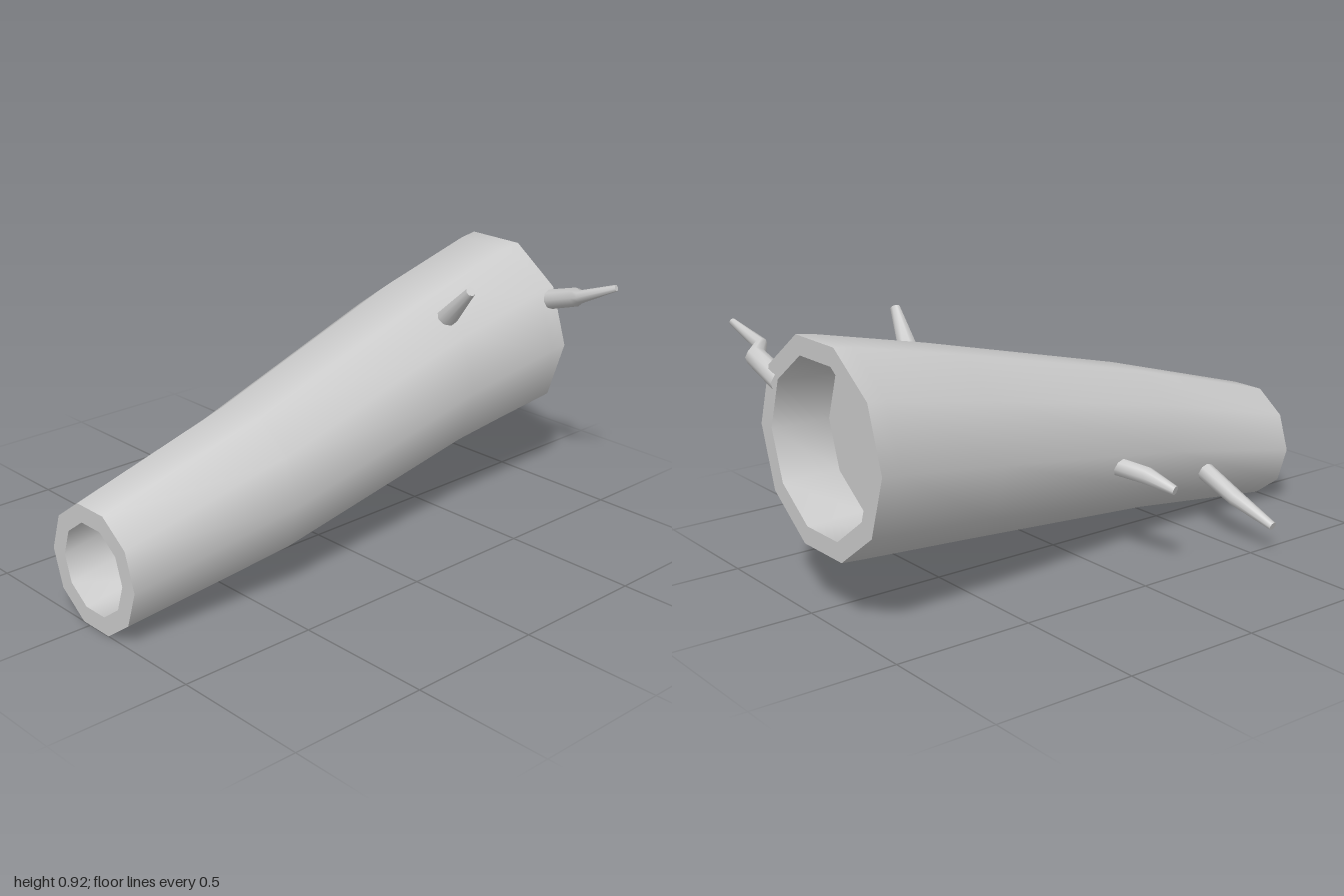
import * as THREE from 'three';

const material = new THREE.MeshStandardMaterial({ color: 0xcccccc });
const X_AXIS = new THREE.Vector3(1, 0, 0);

// Smooth skin through rings [x, y, z, radius]; axes holds one direction per ring
function loft(name, rings, axes, sides) {
  const positions = [];
  const index = [];
  rings.forEach(([x, y, z, r], i) => {
    const u = new THREE.Vector3().crossVectors(axes[i], new THREE.Vector3(0, 1, 0)).normalize();
    const v = new THREE.Vector3().crossVectors(u, axes[i]).normalize();
    for (let j = 0; j < sides; j++) {
      const a = (j / sides) * Math.PI * 2;
      const p = new THREE.Vector3(x, y, z)
        .addScaledVector(u, r * Math.cos(a))
        .addScaledVector(v, r * Math.sin(a));
      positions.push(p.x, p.y, p.z);
      if (i === rings.length - 1) continue;
      const k = (j + 1) % sides;
      const p0 = i * sides + j, p1 = i * sides + k;
      const q0 = p0 + sides, q1 = p1 + sides;
      index.push(p0, q0, p1, p1, q0, q1);
    }
  });
  const geometry = new THREE.BufferGeometry();
  geometry.setAttribute('position', new THREE.Float32BufferAttribute(positions, 3));
  geometry.setIndex(index);
  geometry.computeVertexNormals();
  const mesh = new THREE.Mesh(geometry, material);
  mesh.name = name;
  return mesh;
}

// Tapered twig that follows its points, closed by a flat tip
function twig(name, rings) {
  const points = rings.map(([x, y, z]) => new THREE.Vector3(x, y, z));
  const axes = points.map((p, i) => new THREE.Vector3().subVectors(
    points[Math.min(i + 1, points.length - 1)], points[Math.max(i - 1, 0)]).normalize());
  const tip = rings[rings.length - 1];
  const tipAxis = axes[axes.length - 1];
  const group = new THREE.Group();
  group.name = name;
  group.add(
    loft(name + 'Bark', rings, axes, 8),
    loft(name + 'Tip', [tip, [tip[0], tip[1], tip[2], 0]], [tipAxis, tipAxis], 8));
  return group;
}

export function createModel() {
  const model = new THREE.Group();
  model.name = 'hollowLog';

  // Ten-sided trunk, bent and widening towards +x
  const trunk = [
    [-1, 0.215, 0.032, 0.222],
    [-0.38, 0.338, 0.043, 0.274],
    [0.5, 0.502, -0.052, 0.333],
    [0.92, 0.568, -0.073, 0.361],
    [0.99, 0.576, -0.073, 0.363],
  ];
  // Shallow hollow at each end: mouth ring, floor ring, floor centre
  const smallMouth = [-1, 0.215, 0.032, 0.158];
  const smallFloor = [-0.8, 0.25, 0.036, 0.165];
  const largeMouth = [0.99, 0.576, -0.073, 0.296];
  const largeFloor = [0.78, 0.572, -0.071, 0.285];
  const centre = ([x, y, z]) => [x, y, z, 0];

  const parts = {
    bark: trunk,
    smallRim: [smallMouth, trunk[0]],
    smallHollowWall: [smallFloor, smallMouth],
    smallHollowFloor: [centre(smallFloor), smallFloor],
    largeRim: [trunk[4], largeMouth],
    largeHollowWall: [largeMouth, largeFloor],
    largeHollowFloor: [largeFloor, centre(largeFloor)],
  };
  for (const [name, rings] of Object.entries(parts)) {
    model.add(loft(name, rings, rings.map(() => X_AXIS), 10));
  }

  // Broken twigs: two on the front, two on the back
  model.add(
    twig('frontUpperTwig', [
      [0.505, 0.73, 0.11, 0.037], [0.498, 0.765, 0.15, 0.036], [0.465, 0.892, 0.281, 0.018]]),
    twig('frontCrookedTwig', [
      [0.965, 0.735, 0.19, 0.038], [0.965, 0.785, 0.355, 0.035],
      [0.915, 0.808, 0.41, 0.024], [0.945, 0.866, 0.545, 0.012]]),
    twig('backLongTwig', [
      [-0.57, 0.225, -0.16, 0.035], [-0.55, 0.163, -0.37, 0.03], [-0.567, 0.1, -0.54, 0.016]]),
    twig('backShortTwig', [
      [-0.08, 0.35, -0.24, 0.034], [-0.108, 0.342, -0.38, 0.032], [-0.14, 0.31, -0.487, 0.017]]),
  );
  return model;
}
